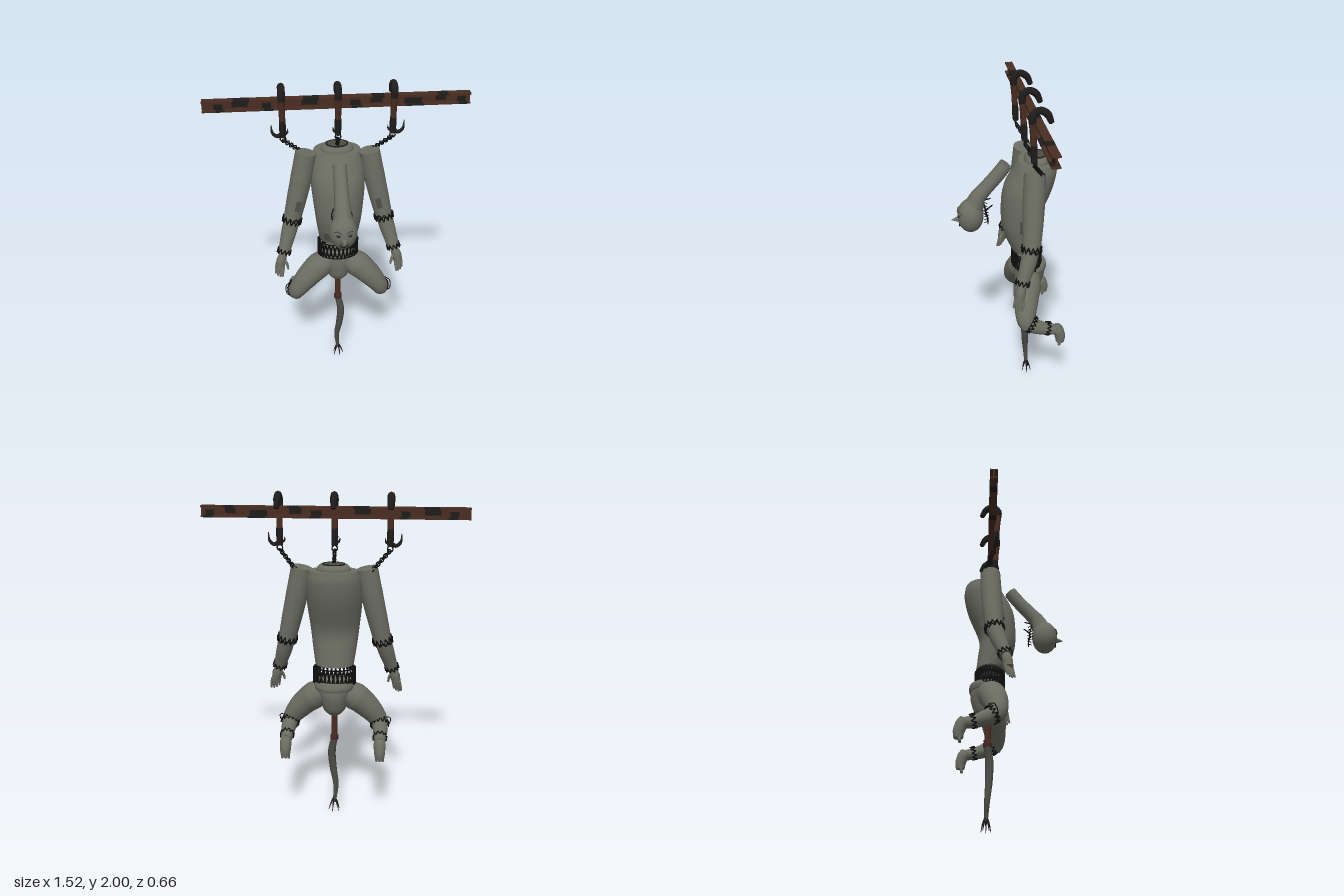
import * as THREE from 'three';
import { toCreasedNormals } from 'three/addons/utils/BufferGeometryUtils.js';

const V = (x, y, z) => new THREE.Vector3(x, y, z);
const mat = (name, color) => Object.assign(new THREE.MeshStandardMaterial({ color }), { name });

export function createModel() {
  const root = new THREE.Group();
  root.name = 'hangingPuppet';
  const skin = mat('grey green', 0x6c6d62), shade = mat('dark grey', 0x4c4d45);
  const rust = mat('rust', 0x4a2d22), iron = mat('dark iron', 0x1f1c1b);
  const wire = mat('black wire', 0x101010), red = mat('dark red', 0x4a2426);

  const add = (name, geo, material, parent = root) => {
    const m = new THREE.Mesh(geo, material);
    m.name = name;
    parent.add(m);
    return m;
  };

  // Capped limb swept through points [x, y, z, radius]
  const limb = (name, pts, material, sides = 14, steps = 20, parent = root) => {
    const curve = new THREE.CatmullRomCurve3(pts.map(p => V(p[0], p[1], p[2])));
    const geo = new THREE.TubeGeometry(curve, steps, 1, sides);
    const pos = geo.attributes.position, nor = geo.attributes.normal;
    for (let i = 0; i <= steps; i++) {
      const u = i <= 1 ? 0 : i >= steps - 1 ? 1 : i / steps;
      const k = curve.getUtoTmapping(u) * (pts.length - 1), a = Math.min(Math.floor(k), pts.length - 2);
      const r = i === 0 || i === steps ? 0 : THREE.MathUtils.lerp(pts[a][3], pts[a + 1][3], k - a);
      const c = curve.getPointAt(u);
      for (let j = 0; j <= sides; j++) {
        const n = i * (sides + 1) + j;
        pos.setXYZ(n, c.x + nor.getX(n) * r, c.y + nor.getY(n) * r, c.z + nor.getZ(n) * r);
      }
    }
    return add(name, toCreasedNormals(geo, 0.8), material, parent);
  };

  // Upright body from sections [y, half width, back z, front z], bottom to top
  const body = (name, s, material) => {
    const geo = new THREE.CylinderGeometry(1, 1, 1, 32, 24);
    const p = geo.attributes.position;
    const curves = [0, 1, 2, 3].map(c => new THREE.CatmullRomCurve3(s.map((q, i) => V(i, q[c], 0))));
    for (let i = 0; i < p.count; i++) {
      const [y, rx, zb, zf] = curves.map(c => c.getPoint(p.getY(i) + 0.5).y);
      p.setXYZ(i, p.getX(i) * rx, y, (zb + zf) / 2 + p.getZ(i) * (zf - zb) / 2);
    }
    return add(name, toCreasedNormals(geo, 0.8), material);
  };

  // Zigzag wire ring around an axis
  const stitch = (name, c, axis, rx, rz, h, n, r = 0.004, phase = 0) => {
    const pts = [];
    for (let i = 0; i < n * 2; i++) {
      const a = (i + phase) / n * Math.PI;
      pts.push(V(Math.cos(a) * rx, i % 2 ? h : -h, Math.sin(a) * rz));
    }
    const curve = new THREE.CatmullRomCurve3(pts, true, 'catmullrom', 0.1);
    const m = add(name, new THREE.TubeGeometry(curve, n * 8, r, 5, true), wire);
    m.position.copy(c);
    m.quaternion.setFromUnitVectors(V(0, 1, 0), axis.clone().normalize());
  };

  // Chain of alternating links
  const chain = (name, a, b, n) => {
    const g = new THREE.Group();
    g.name = name;
    root.add(g);
    const turn = new THREE.Quaternion().setFromUnitVectors(V(0, 1, 0), b.clone().sub(a).normalize());
    for (let i = 0; i < n; i++) {
      const m = add('chainLink', new THREE.TorusGeometry(0.012, 0.004, 6, 12), wire, g);
      m.position.lerpVectors(a, b, (i + 0.5) / n);
      m.quaternion.copy(turn).multiply(new THREE.Quaternion().setFromAxisAngle(V(0, 1, 0), i % 2 ? 2.3 : 0.75));
    }
  };
  const plate = (name, w, h, d, x, y, z, material) => {
    const m = add(name, new THREE.BoxGeometry(w, h, d), material);
    m.position.set(x, y, z);
    return m;
  };

  // I-beam with dark stains
  plate('beamWeb', 1.52, 0.05, 0.01, 0, 1.883, -0.125, rust);
  for (const y of [1.855, 1.911]) plate('beamFlange', 1.52, 0.009, 0.046, 0, y, -0.125, rust);
  [[-0.67, 0.05], [-0.55, 0.09], [-0.4, 0.05], [-0.16, 0.09], [0.1, 0.06], [0.22, 0.07], [0.43, 0.1], [0.59, 0.06], [0.71, 0.05]]
    .forEach(([x, w], i) => {
      plate('beamStain', w, 0.035, 0.012, x, i % 2 ? 1.89 : 1.875, -0.125, iron);
      plate('beamTopStain', w, 0.0094, 0.0464, x + 0.01, i % 2 ? 1.911 : 1.855, -0.125, iron);
    });

  // Hooks over the beam, with barbs, rings and chains
  for (const s of [-1, 0, 1]) {
    const x = s * 0.317;
    limb('hookFoot', [[x, 1.69, -0.103, 0.017], [x, 1.74, -0.1, 0.02], [x, 1.79, -0.098, 0.019]], iron, 8, 8);
    limb('hookShank', [[x, 1.78, -0.098, 0.018], [x, 1.86, -0.093, 0.018], [x, 1.925, -0.088, 0.02]], rust, 8, 8);
    limb('hookBend', [[x, 1.91, -0.088, 0.021], [x, 1.957, -0.092, 0.022], [x, 1.979, -0.125, 0.021],
      [x, 1.96, -0.165, 0.021], [x, 1.91, -0.19, 0.015]], iron, 8, 18);
    if (s) limb('hookBarb', [[x, 1.715, -0.1, 0.013], [x + s * 0.03, 1.695, -0.1, 0.012],
      [x + s * 0.058, 1.715, -0.1, 0.009], [x + s * 0.064, 1.768, -0.1, 0.001]], iron, 7, 14);
    limb('hookSpur', [[x, 1.71, -0.1, 0.012], [x - (s || 1) * 0.024, 1.715, -0.1, 0.008],
      [x - (s || 1) * 0.03, 1.74, -0.1, 0.001]], iron, 6, 8);
    add('hookRing', new THREE.TorusGeometry(0.016, 0.004, 6, 14), wire).position.set(x, 1.677, -0.103);
    chain('chain', V(x, 1.668, -0.105), V(s * 0.215, 1.56, -0.175), s ? 10 : 8);
  }

  // Torso with open neck socket
  body('torso', [[0.985, 0.115, -0.21, -0.03], [1.08, 0.13, -0.2, 0.01], [1.2, 0.145, -0.195, 0.033],
    [1.38, 0.163, -0.265, 0.022], [1.5, 0.158, -0.293, -0.035], [1.565, 0.14, -0.288, -0.068]], skin);
  const socket = body('neckSocket', [[1.55, 0.1, -0.25, -0.1], [1.58, 0.095, -0.25, -0.105], [1.598, 0.08, -0.24, -0.115]], skin);
  socket.name = 'neckSocket';
  const hole = add('neckHole', new THREE.CylinderGeometry(0.06, 0.06, 0.004, 24), shade);
  hole.position.set(0, 1.6, -0.177);
  hole.scale.z = 0.8;
  const rim = add('neckRim', new THREE.TorusGeometry(0.062, 0.005, 6, 28), iron);
  rim.position.set(0, 1.6, -0.177);
  rim.rotation.x = Math.PI / 2;
  rim.scale.y = 0.8;
  plate('chestPatch', 0.036, 0.056, 0.009, -0.075, 1.05, -0.017, shade).rotation.set(0.2, -0.35, 0);

  // Waist lattice and pelvis
  for (const phase of [0, 1]) stitch('waistLattice', V(0, 0.917, -0.125), V(0, 1, 0), 0.125, 0.088, 0.052, 15, 0.0055, phase);
  for (const y of [0.867, 0.967]) {
    const ring = add('waistRing', new THREE.TorusGeometry(0.122, 0.004, 5, 32), wire);
    ring.position.set(0, y, -0.125);
    ring.rotation.x = Math.PI / 2;
    ring.scale.y = 0.7;
  }
  body('pelvis', [[0.672, 0.04, -0.18, -0.09], [0.71, 0.07, -0.212, -0.062], [0.79, 0.092, -0.238, -0.05],
    [0.85, 0.112, -0.235, -0.055], [0.89, 0.11, -0.22, -0.06]], skin);
  body('hipBelt', [[0.838, 0.112, -0.246, -0.06], [0.86, 0.118, -0.25, -0.058], [0.882, 0.114, -0.245, -0.06]], skin);

  // Detached neck and drooping head
  limb('neck', [[0, 1.548, 0.002, 0.041], [0, 1.48, 0.055, 0.042], [0, 1.4, 0.125, 0.043], [0, 1.34, 0.175, 0.049],
    [0, 1.28, 0.2, 0.06]], skin, 18);
  const head = add('head', new THREE.SphereGeometry(0.083, 28, 20), skin);
  head.position.set(0, 1.228, 0.217);
  head.scale.set(1, 1.26, 0.95);
  const nose = add('nose', new THREE.ConeGeometry(0.024, 0.06, 14), skin);
  nose.position.set(0, 1.208, 0.305);
  nose.rotation.x = Math.PI / 2 + 0.1;
  const mouth = add('mouth', new THREE.TorusGeometry(0.022, 0.003, 5, 14, Math.PI), wire);
  mouth.position.set(0, 1.187, 0.284);
  mouth.rotation.z = Math.PI;
  for (const s of [-1, 1]) {
    const eye = add('eye', new THREE.SphereGeometry(0.015, 12, 8), shade);
    eye.position.set(s * 0.034, 1.243, 0.286);
    eye.scale.set(1, 0.7, 0.3);
    eye.rotation.y = s * 0.5;
    const pupil = add('pupil', new THREE.SphereGeometry(0.006, 8, 6), wire);
    pupil.position.set(s * 0.034, 1.243, 0.29);
    limb('brow', [[s * 0.015, 1.258, 0.293, 0.003], [s * 0.035, 1.27, 0.285, 0.004], [s * 0.058, 1.258, 0.27, 0.002]], shade, 5, 8);
    limb('headWire', [[s * 0.045, 1.31, 0.09, 0.004], [s * 0.06, 1.285, 0.13, 0.004], [s * 0.05, 1.24, 0.122, 0.005],
      [s * 0.045, 1.185, 0.117, 0.003]], wire, 5, 14);
    for (let i = 0; i < 5; i++)
      limb('headStitch', [[s * 0.035, 1.2 + i * 0.02, 0.112, 0.003], [s * 0.06, 1.205 + i * 0.02, 0.138, 0.003]], wire, 4, 4);
  }

  for (const s of [-1, 1]) {
    // Arms
    limb('upperArm', [[s * 0.188, 1.572, -0.132, 0.062], [s * 0.217, 1.42, -0.125, 0.065], [s * 0.252, 1.27, -0.115, 0.06],
      [s * 0.283, 1.14, -0.105, 0.053]], skin, 18);
    limb('forearm', [[s * 0.284, 1.14, -0.105, 0.051], [s * 0.31, 1.05, -0.08, 0.047], [s * 0.345, 0.935, -0.04, 0.036]], skin, 16);
    stitch('elbowStitch', V(s * 0.284, 1.135, -0.104), V(s * 0.25, -1, 0.1), 0.057, 0.057, 0.021, 13);
    stitch('elbowStitch', V(s * 0.284, 1.135, -0.104), V(s * 0.1, -1, 0.3), 0.059, 0.059, 0.014, 11);
    stitch('wristStitch', V(s * 0.342, 0.945, -0.044), V(s * 0.3, -1, 0.3), 0.041, 0.041, 0.016, 10);
    plate('armPatch', 0.032, 0.066, 0.009, s * 0.244, 1.25, -0.052, shade).rotation.set(-0.08, 0, s * 0.24);

    // Hands
    limb('palm', [[s * 0.347, 0.93, -0.038, 0.024], [s * 0.362, 0.89, -0.03, 0.031], [s * 0.372, 0.845, -0.024, 0.027]], skin, 12, 10);
    for (let i = 0; i < 4; i++) {
      const o = (i - 1.5) * 0.014;
      limb('finger', [[s * (0.371 + o), 0.855, -0.026 - o, 0.009], [s * (0.378 + o), 0.815, -0.018 - o, 0.009],
        [s * (0.381 + o), 0.775 + Math.abs(o) * 0.6, -0.01 - o, 0.006]], skin, 7, 8);
    }
    limb('thumb', [[s * 0.35, 0.9, -0.025, 0.011], [s * 0.33, 0.87, -0.01, 0.01], [s * 0.322, 0.835, -0.003, 0.006]], skin, 7, 8);

    // Legs
    limb('thigh', [[s * 0.055, 0.815, -0.135, 0.07], [s * 0.125, 0.775, -0.112, 0.085], [s * 0.21, 0.695, -0.09, 0.073],
      [s * 0.268, 0.615, -0.082, 0.056], [s * 0.28, 0.575, -0.095, 0.044]], skin, 20, 24);
    limb('shin', [[s * 0.276, 0.605, -0.085, 0.048], [s * 0.282, 0.575, -0.14, 0.046], [s * 0.282, 0.553, -0.2, 0.038],
      [s * 0.282, 0.54, -0.262, 0.033]], skin, 16);
    limb('foot', [[s * 0.282, 0.565, -0.268, 0.027], [s * 0.282, 0.535, -0.28, 0.036], [s * 0.283, 0.49, -0.295, 0.033],
      [s * 0.284, 0.45, -0.296, 0.027]], skin, 14);
    for (let i = -1; i <= 1; i++)
      limb('toe', [[s * 0.284 + i * 0.018, 0.465, -0.293, 0.012], [s * 0.284 + i * 0.019, 0.43, -0.287, 0.008]], skin, 7, 6);
    stitch('kneeStitch', V(s * 0.277, 0.595, -0.11), V(s * 0.1, -0.55, -0.8), 0.055, 0.055, 0.016, 13);
    stitch('ankleStitch', V(s * 0.282, 0.553, -0.215), V(0, -0.25, -1), 0.041, 0.041, 0.014, 10);
    limb('looseWire', [[s * 0.3, 0.56, -0.09, 0.003], [s * 0.335, 0.585, -0.08, 0.003], [s * 0.34, 0.635, -0.1, 0.003],
      [s * 0.3, 0.65, -0.13, 0.003]], wire, 4, 14);
  }

  // Tail: rod, collar, tapering rope and claws
  add('tailRod', new THREE.CylinderGeometry(0.019, 0.019, 0.17, 12), rust).position.set(0, 0.605, -0.133);
  add('tailCollar', new THREE.CylinderGeometry(0.026, 0.026, 0.024, 14), red).position.set(0, 0.51, -0.133);
  limb('tail', [[0, 0.502, -0.133, 0.021], [0.017, 0.41, -0.121, 0.025], [0.008, 0.29, -0.122, 0.022],
    [-0.009, 0.18, -0.13, 0.017], [0, 0.06, -0.135, 0.01]], shade, 10, 24);
  for (let i = 0; i < 5; i++) {
    const a = i / 5 * Math.PI * 2, cx = Math.cos(a), cz = Math.sin(a);
    limb('tailClaw', [[cx * 0.004, 0.085, -0.135 + cz * 0.004, 0.006], [cx * 0.02, 0.05, -0.135 + cz * 0.018, 0.005],
      [cx * 0.036, 0.002, -0.135 + cz * 0.03, 0.0015]], iron, 5, 8);
  }
  return root;
}
